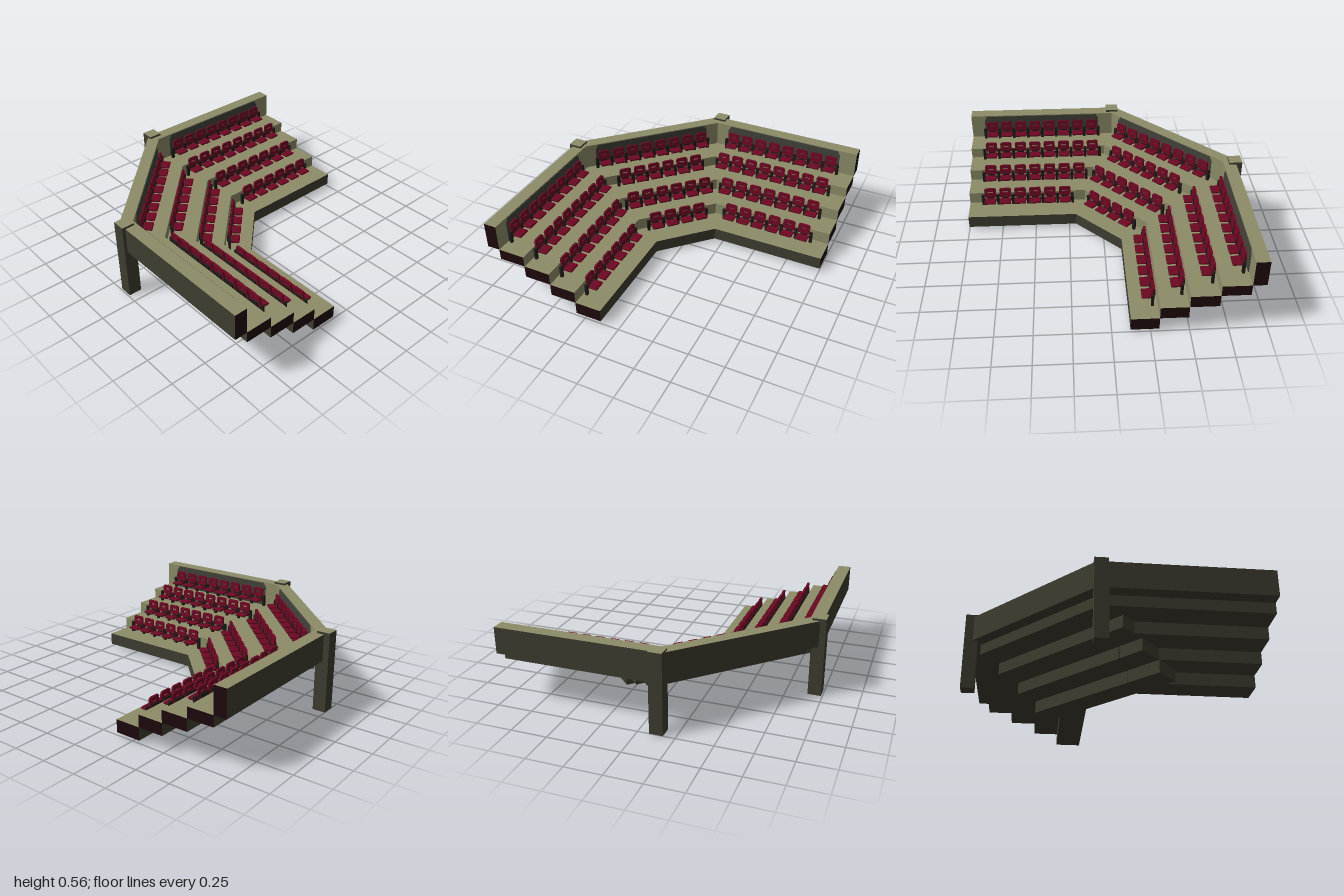
import * as THREE from 'three';
import { RoundedBoxGeometry } from 'three/addons/geometries/RoundedBoxGeometry.js';

const mat = (name, color) => {
  const m = new THREE.MeshStandardMaterial({ color });
  m.name = name;
  return m;
};

export function createModel() {
  const olive = mat('light olive', 0x8d8d69);
  const shell = mat('dark olive shell', 0x3f3e31);
  const maroon = mat('dark maroon end', 0x1f090d);
  const red = mat('seat red', 0x6e0823);
  const dark = mat('dark frame', 0x1f1c18);
  const grey = mat('grey panel', 0x42433a);

  const model = new THREE.Group();
  model.name = 'cornerGrandstand';

  const add = (parent, name, geo, material, x, y, z) => {
    const mesh = new THREE.Mesh(geo, material);
    mesh.name = name;
    mesh.position.set(x, y, z);
    parent.add(mesh);
    return mesh;
  };

  // Tier edges: heights, depths on the wings, depths on the diagonal, wing starts
  const Y = [0.02, 0.11, 0.197, 0.283, 0.36, 0.545];
  const wingZ = [0.13, 0.315, 0.5, 0.69, 0.878, 0.968];
  const diagZ = [-0.05, 0.134, 0.318, 0.516, 0.7, 0.785];
  const wingStart = [0.12, 0.04, -0.04, -0.12, -0.15];
  const pitch = 0.1125;

  // Shared chair geometries
  const cushionGeo = new RoundedBoxGeometry(0.086, 0.018, 0.066, 2, 0.008);
  const w = 0.043, h = 0.072, r = 0.01;
  const backShape = new THREE.Shape();
  backShape.moveTo(-w, 0).lineTo(w, 0).lineTo(w, h - r).lineTo(w - r, h)
    .lineTo(r - w, h).lineTo(-w, h - r).closePath();
  const slot = new THREE.Path();
  slot.moveTo(-0.02, 0.034).lineTo(-0.02, 0.046).lineTo(0.02, 0.046).lineTo(0.02, 0.034).closePath();
  backShape.holes.push(slot);
  const backGeo = new THREE.ExtrudeGeometry(backShape, { depth: 0.014, bevelEnabled: false });
  const bracketGeo = new THREE.BoxGeometry(0.05, 0.05, 0.012);
  const postGeo = new THREE.BoxGeometry(0.02, 0.085, 0.018);

  // One chair facing -z
  function chair(parent, x, y, z) {
    const g = new THREE.Group();
    g.name = 'chair';
    g.position.set(x, y, z);
    add(g, 'seatCushion', cushionGeo, red, 0, 0.05, -0.012);
    add(g, 'seatBack', backGeo, red, 0, 0.068, 0.018).rotation.x = 0.08;
    add(g, 'seatBracket', bracketGeo, dark, 0, 0.068, 0.038);
    parent.add(g);
  }

  // A row of chairs with posts between them and a rail
  function chairRow(parent, cx, y, z, n) {
    const row = new THREE.Group();
    row.name = 'chairRow';
    const x0 = cx - (n * pitch) / 2;
    for (let i = 0; i < n; i++) chair(row, x0 + (i + 0.5) * pitch, y, z);
    for (let i = 0; i <= n; i++) {
      add(row, 'framePost', postGeo, dark, x0 + i * pitch, y + 0.0425, z + 0.024);
    }
    add(row, 'rail', new THREE.BoxGeometry(n * pitch, 0.01, 0.01), dark, cx, y + 0.042, z + 0.026);
    parent.add(row);
  }

  // Thin panel with clipped top corners on the rear wall
  function wallPanel(parent, cx, z, half) {
    const s = new THREE.Shape();
    const b = Y[4], t = Y[5] - 0.005;
    s.moveTo(-half, b).lineTo(half, b).lineTo(half, t - 0.035).lineTo(half - 0.02, t)
      .lineTo(0.02 - half, t).lineTo(-half, t - 0.035).closePath();
    add(parent, 'wallPanel', new THREE.ExtrudeGeometry(s, { depth: 0.006, bevelEnabled: false }),
      grey, cx, 0, z - 0.005);
  }

  // Local x runs along the rows, local z points outward; side 0 is the diagonal.
  // Treads and inner risers are light; ends, undersides, backs and the lowest front are dark.
  function section(name, { side, angle, edges, counts, chairX, chairInset }) {
    const g = new THREE.Group();
    g.name = name;
    g.rotation.y = angle;
    for (let i = 0; i < 5; i++) {
      const len = side ? 1 - wingStart[i] : 1.13;
      const cx = side ? side * (1 + wingStart[i]) / 2 : 0.007;
      const geo = new THREE.BoxGeometry(len, Y[i + 1] - Y[i], edges[i + 1] - edges[i]);
      const faces = [side > 0 ? maroon : shell, side < 0 ? maroon : shell,
        olive, shell, shell, i === 0 ? shell : olive];
      add(g, i < 4 ? 'step' : 'rearWall', geo, faces, cx, (Y[i] + Y[i + 1]) / 2, (edges[i] + edges[i + 1]) / 2);
    }
    counts.forEach((n, i) => {
      const cx = side ? side * (chairX - (n * pitch) / 2) : chairX;
      chairRow(g, cx, Y[i + 1], edges[i + 1] - chairInset, n);
      if (i === 3) wallPanel(g, cx, edges[4], (n * pitch) / 2);
    });
    model.add(g);
    return g;
  }

  section('leftWing', {
    side: 1, angle: 0, edges: wingZ, counts: [6, 7, 8, 8], chairX: 0.896, chairInset: 0.05,
  });
  section('rightWing', {
    side: -1, angle: -Math.PI / 2, edges: wingZ, counts: [6, 7, 8, 8], chairX: 0.875, chairInset: 0.06,
  }).position.x = 0.01;
  section('diagonalCorner', {
    side: 0, angle: -Math.PI / 4, edges: diagZ, counts: [4, 6, 6, 8], chairX: 0.018, chairInset: 0.056,
  });

  // Corner posts with light caps
  const cornerPost = new THREE.BoxGeometry(0.092, 0.56, 0.092);
  const postFaces = [shell, shell, olive, shell, shell, shell];
  add(model, 'cornerPost', cornerPost, postFaces, -0.954, 0.28, 0.124);
  add(model, 'cornerPost', cornerPost, postFaces, -0.116, 0.28, 0.944);
  return model;
}
